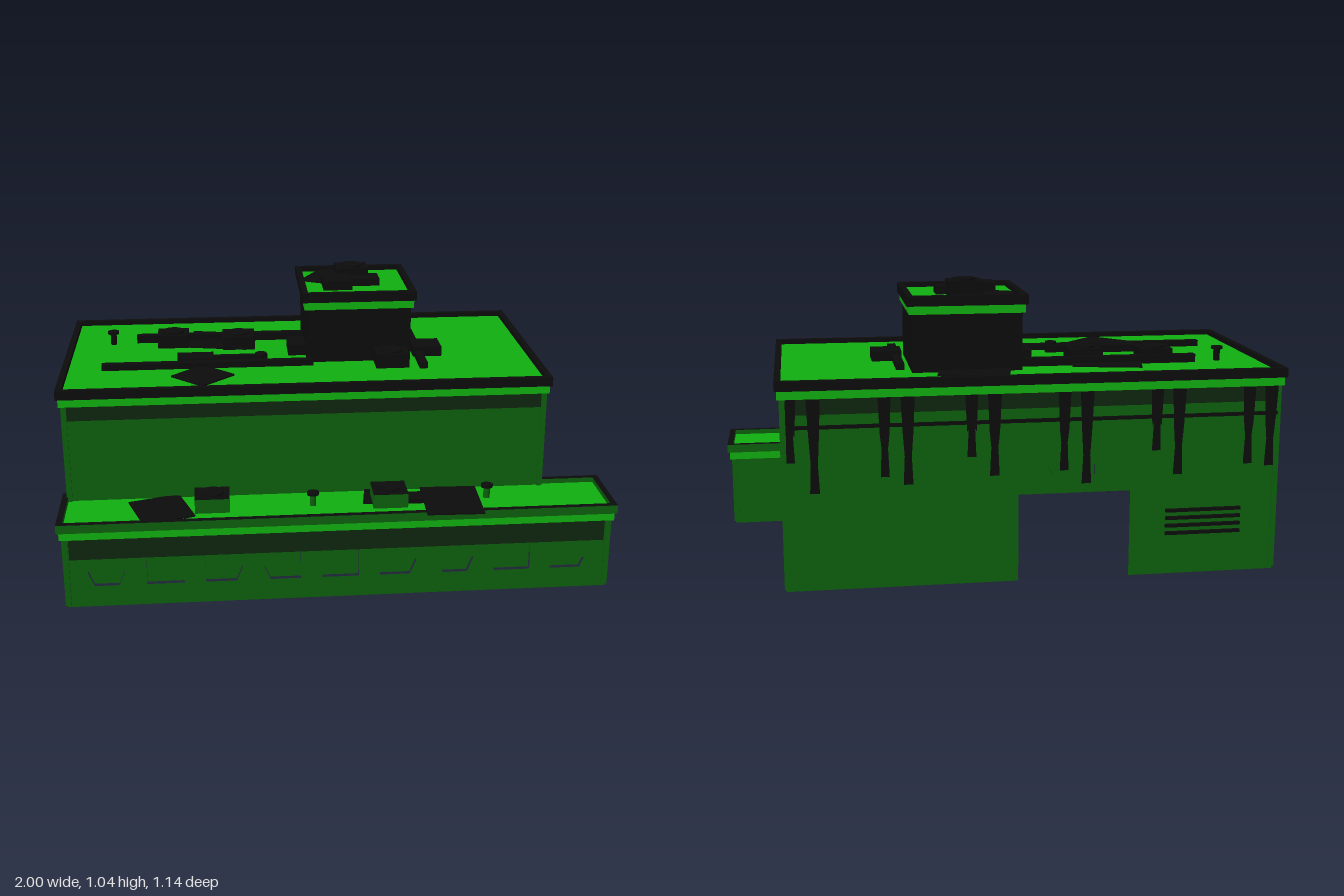
import * as THREE from 'three';

const mat = (name, color, side = THREE.FrontSide) => {
  const m = new THREE.MeshStandardMaterial({ color, side });
  m.name = name;
  return m;
};

export function createModel() {
  const model = new THREE.Group();
  const wall = mat('dark green', 0x0d600d, THREE.DoubleSide);
  const green = mat('bright green', 0x10b010);
  const black = mat('black', 0x0c0c0c);
  const shade = mat('shaded green', 0x0f260f);

  const add = (name, geo, material, x = 0, y = 0, z = 0, ry = 0) => {
    const m = new THREE.Mesh(geo, material);
    m.name = name;
    m.position.set(x, y, z);
    m.rotation.y = ry;
    model.add(m);
    return m;
  };
  // Box given by its limits
  const box = (name, x0, x1, y0, y1, z0, z1, material) =>
    add(name, new THREE.BoxGeometry(x1 - x0, y1 - y0, z1 - z0), material,
      (x0 + x1) / 2, (y0 + y1) / 2, (z0 + z1) / 2);
  const polygon = (pts, Type = THREE.Shape) => new Type(pts.map(p => new THREE.Vector2(...p)));
  const rect = (x0, x1, y0, y1) => [[x0, y0], [x1, y0], [x1, y1], [x0, y1]];
  // Rectangular ring lying flat, inset by w
  const ring = (name, [x0, x1, z0, z1], y0, y1, w, material) => {
    const s = polygon(rect(x0, x1, -z1, -z0));
    s.holes.push(polygon(rect(x0 + w, x1 - w, -z1 + w, -z0 - w), THREE.Path));
    const g = new THREE.ExtrudeGeometry(s, { depth: y1 - y0, bevelEnabled: false });
    g.rotateX(-Math.PI / 2);
    return add(name, g, material, 0, y0, 0);
  };
  const grow = ([x0, x1, z0, z1], d) => [x0 - d, x1 + d, z0 - d, z1 + d];
  const roofMats = [wall, wall, green, wall, wall, wall];
  // Trim, parapet and roof deck over a footprint
  const crown = (name, f, y, top, rimMat) => {
    ring(name + 'Trim', grow(f, 0.01), y, y + 0.03, 0.025, green);
    ring(name + 'Parapet', grow(f, 0.018), y + 0.03, top, 0.022, rimMat);
    box(name + 'Roof', f[0], f[1], top - 0.03, top - 0.018, f[2], f[3], roofMats);
  };
  const posts = (name, [x0, x1, z0, z1], y0, y1) => {
    for (const x of [x0 + 0.007, x1 - 0.007])
      for (const z of [z0 + 0.007, z1 - 0.007])
        box(name, x - 0.01, x + 0.01, y0, y1, z - 0.01, z + 0.01, wall);
  };

  // Main hall
  const main = [-0.978, 0.775, -0.553, 0.299];
  box('hallFrontWall', -0.975, 0.772, 0.27, 0.69, 0.288, 0.295, wall);
  box('hallLeftWall', 0.765, 0.772, 0, 0.69, -0.55, 0.295, wall);
  box('hallRightWall', -0.975, -0.968, 0, 0.69, -0.55, 0.295, wall);
  const back = polygon([[-0.975, 0], [-0.44, 0], [-0.44, 0.415], [-0.04, 0.415],
    [-0.04, 0], [0.772, 0], [0.772, 0.69], [-0.975, 0.69]]);
  add('hallBackWall', new THREE.ShapeGeometry(back), wall, 0, 0, -0.55);
  posts('hallCornerPost', main, 0.01, 0.68);
  ring('hallShadowBand', main, 0.625, 0.682, 0.007, shade);
  crown('hall', main, 0.681, 0.745, black);

  // Front annex with a row of windows
  const low = [-0.98, 0.98, 0.283, 0.526];
  const front = polygon(rect(-0.977, 0.977, 0, 0.28));
  // Left and right corner cut of each window
  const cuts = [[1, 1], [0, 0], [0, 1], [1, 0], [0, 0], [0, 1], [1, 1], [0, 0], [0, 1]];
  cuts.forEach(([l, r], i) => {
    const c = (i - 4) * 0.2085, a = c - 0.066, b = c + 0.066, k = 0.022;
    const pts = [[a + l * k, 0.08], [b - r * k, 0.08], [b, 0.134], [b - r * k, 0.187],
      [a + l * k, 0.187], [a, 0.134]];
    front.holes.push(polygon(pts, THREE.Path));
    add('windowPane', new THREE.ShapeGeometry(polygon(pts)), wall, 0, 0, 0.503);
  });
  add('annexFrontWall', new THREE.ShapeGeometry(front), wall, 0, 0, 0.521);
  for (const s of [-1, 1])
    box('annexEndWall', s * 0.974 - 0.003, s * 0.974 + 0.003, 0, 0.28, 0.286, 0.52, wall);
  box('annexBackWall', 0.77, 0.977, 0, 0.28, 0.286, 0.291, wall);
  posts('annexCornerPost', low, 0.01, 0.27);
  box('annexFrontBand', -0.96, 0.96, 0.187, 0.268, 0.521, 0.525, shade);
  for (const s of [-1, 1])
    box('annexEndBand', s * 0.978 - 0.002, s * 0.978 + 0.002, 0.245, 0.268, 0.3, 0.51, shade);
  crown('annex', low, 0.269, 0.331, [black, wall]);

  // Roof tower
  const tower = [-0.08, 0.313, -0.382, 0.01];
  box('towerWalls', -0.08, 0.313, 0.72, 0.965, -0.382, 0.01, black);
  crown('tower', tower, 0.934, 1.0, black);

  // Roof patches: x, y, z, width, depth, turn
  [[-0.41, 0.732, -0.285, 0.25, 0.205, -0.21], [-0.475, 0.732, 0.147, 0.165, 0.165, 0.78],
    [0.09, 0.732, -0.39, 0.25, 0.2, -0.2], [0.02, 0.986, -0.28, 0.14, 0.2, -0.5],
    [-0.635, 0.317, 0.405, 0.19, 0.2, 0.31], [0.16, 0.317, 0.36, 0.12, 0.13, -0.15],
    [0.41, 0.332, 0.45, 0.205, 0.235, -0.03]].forEach(([x, y, z, w, d, r]) =>
    add('roofPatch', new THREE.BoxGeometry(w, 0.006, d), black, x, y, z, r));

  // Fan units: x, z, base, top, width, depth, body material
  [[-0.59, -0.26, 0.725, 0.776, 0.12, 0.1, black], [-0.335, -0.225, 0.725, 0.776, 0.125, 0.11, black],
    [0.235, 0.057, 0.725, 0.778, 0.125, 0.1, black], [0.11, -0.243, 0.98, 1.035, 0.125, 0.1, black],
    [-0.453, 0.393, 0.31, 0.366, 0.125, 0.105, wall],
    [0.188, 0.4, 0.31, 0.366, 0.125, 0.115, wall]].forEach(([x, z, y0, y1, w, d, m]) => {
    box('fanUnit', x - w / 2, x + w / 2, y0, y1, z - d / 2, z + d / 2, m);
    box('fanUnitLid', x - w / 2, x + w / 2, y1, y1 + 0.003, z - d / 2, z + d / 2, black);
    add('fanGrille', new THREE.CylinderGeometry(0.042, 0.042, 0.008, 16), black, x, y1 + 0.006, z);
  });

  // Low ducts and pipes: x0, x1, z0, z1, base, top
  [[-0.735, -0.08, -0.318, -0.288, 0.725, 0.757], [-0.85, -0.06, 0.02, 0.05, 0.725, 0.75],
    [0.335, 0.365, -0.32, 0.12, 0.725, 0.75], [-0.57, -0.435, -0.065, 0.015, 0.725, 0.755],
    [-0.435, -0.23, -0.04, -0.018, 0.725, 0.752], [0.33, 0.44, -0.135, -0.025, 0.725, 0.764],
    [-0.147, -0.07, -0.195, -0.08, 0.725, 0.768], [-0.01, 0.1, -0.2, -0.08, 0.98, 1.018],
    [0.1, 0.21, -0.22, -0.135, 0.98, 1.01], [0.25, 0.33, 0.355, 0.425, 0.31, 0.33]]
    .forEach(([x0, x1, z0, z1, y0, y1]) => box('roofDuct', x0, x1, y0, y1, z0, z1, black));

  // Vent pipes with caps: x, z, base, top, stem material
  [[-0.826, -0.286, 0.725, 0.775, black], [-0.255, -0.005, 0.725, 0.76, black],
    [-0.09, 0.405, 0.31, 0.36, wall], [0.55, 0.39, 0.31, 0.36, wall]].forEach(([x, z, y0, y1, m]) => {
    add('ventStem', new THREE.CylinderGeometry(0.012, 0.012, y1 - y0, 10), m, x, (y0 + y1) / 2, z);
    add('ventCap', new THREE.CylinderGeometry(0.022, 0.022, 0.01, 12), black, x, y1, z);
  });

  // Stains running down the back wall in pairs
  const streak = (x, w, y) => {
    const s = polygon([[x - w, 0.68], [x + w, 0.68], [x + w * 0.75, 0.55], [x + w * 0.5, y + 0.1],
      [x + w * 0.7, y], [x - w * 0.7, y], [x - w * 0.5, y + 0.1], [x - w * 0.75, 0.55]].reverse());
    add('wallStain', new THREE.ExtrudeGeometry(s, { depth: 0.003, bevelEnabled: false }), black, 0, 0, -0.556);
  };
  [0.7, 0.38, 0.08, -0.245, -0.575, -0.91].forEach((x, i) => {
    streak(x + 0.045, 0.022, i % 2 ? 0.4 : 0.46);
    streak(x - 0.035, 0.024, 0.35 + (i % 3) * 0.02);
  });
  box('wallCable', -0.97, 0.77, 0.575, 0.588, -0.556, -0.551, black);

  // Louvre slats beside the rear doorway
  for (let i = 0; i < 4; i++)
    box('louvreSlat', -0.845, -0.57, 0.147 + i * 0.028, 0.158 + i * 0.028, -0.562, -0.55, black);

  return model;
}
